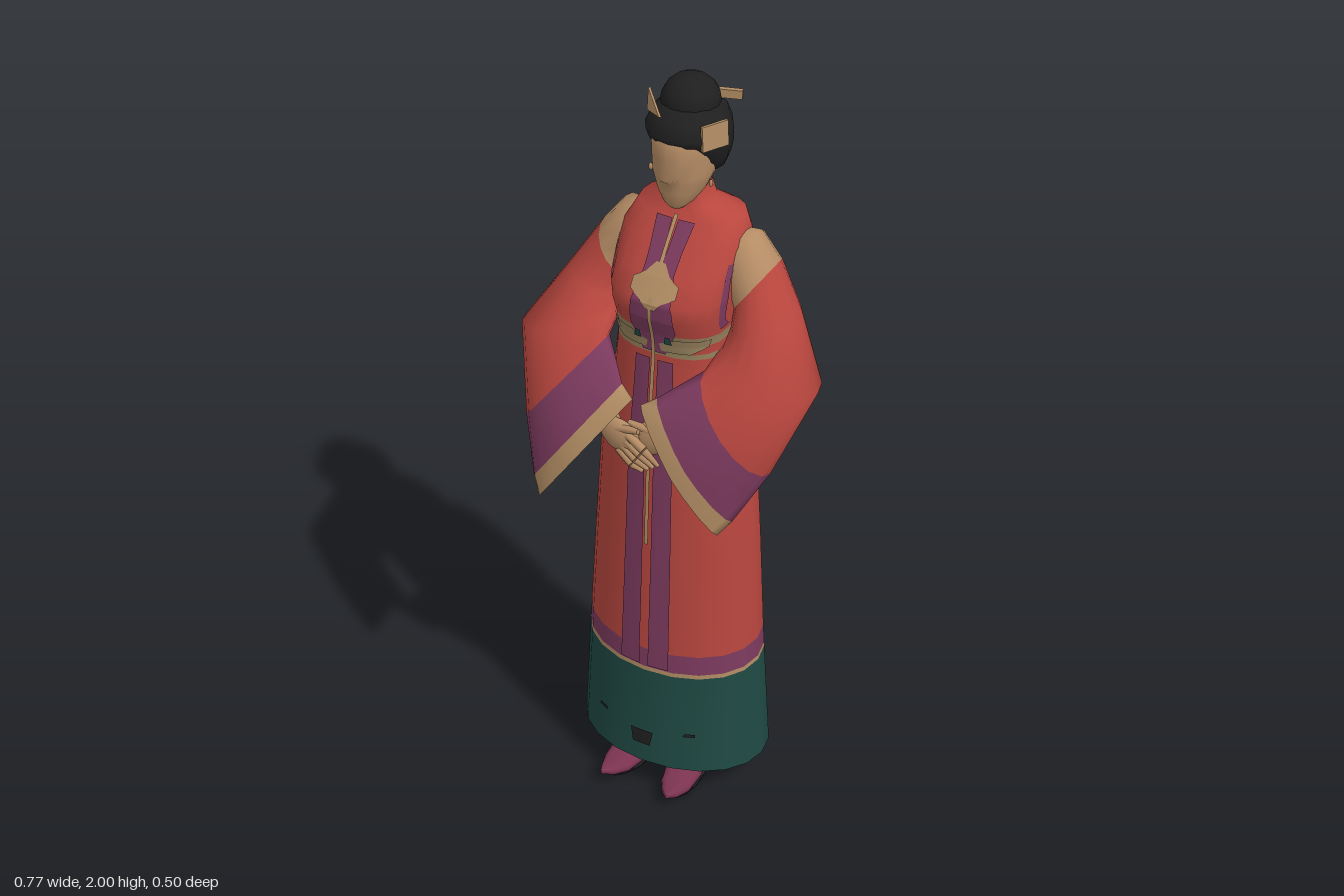
import * as THREE from 'three';

const V3 = (x, y, z) => new THREE.Vector3(x, y, z);
const paint = (name, color) => {
  const m = new THREE.MeshStandardMaterial({ color, side: THREE.DoubleSide });
  m.name = name;
  return m;
};

export function createModel() {
  const red = paint('red silk', 0xb8463e), purple = paint('purple border', 0x7c3a5e);
  const teal = paint('teal hem', 0x1f4943), skin = paint('skin', 0xb58c65);
  const tan = paint('tan trim', 0xb28d64), black = paint('black hair', 0x1f1f1f);
  const olive = paint('olive sash', 0x94805c), shoe = paint('shoe cloth', 0x7c3450);
  const root = new THREE.Group();

  const add = (name, geo, mat, parent = root) => {
    const m = new THREE.Mesh(geo, mat);
    m.name = name;
    parent.add(m);
    return m;
  };

  // Smooth skin over closed rings; bands[i] is the material between ring i and i + 1
  function loft(name, rings, bands, parent = root) {
    const n = rings[0].length, idx = [], mats = [...new Set(bands)];
    const geo = new THREE.BufferGeometry().setFromPoints(rings.flat());
    bands.forEach((mat, i) => {
      geo.addGroup(idx.length, n * 6, mats.indexOf(mat));
      for (let j = 0; j < n; j++) {
        const a = i * n + j, b = i * n + (j + 1) % n;
        idx.push(a, a + n, b, b, a + n, b + n);
      }
    });
    geo.setIndex(idx);
    geo.computeVertexNormals();
    return add(name, geo, mats, parent);
  }
  const fill = (rings, mat) => rings.slice(1).map(() => mat);

  // Level ring from half width, back z and front z; p sets how square it is
  const pw = (v, p) => Math.sign(v) * Math.abs(v) ** (2 / p);
  function ring([y, hw, zb, zf], n, p) {
    return Array.from({ length: n }, (_, j) => {
      const a = j / n * Math.PI * 2;
      return V3(hw * pw(Math.cos(a), p), y, (zb + zf) / 2 + (zf - zb) / 2 * pw(Math.sin(a), p));
    });
  }
  function rod(name, a, b, r0, r1, mat, parent = root) {
    const d = b.clone().sub(a);
    const m = add(name, new THREE.CylinderGeometry(r1, r0, d.length(), 8), mat, parent);
    m.position.copy(a).add(b).multiplyScalar(0.5);
    m.quaternion.setFromUnitVectors(V3(0, 1, 0), d.normalize());
    return m;
  }

  // Robe: [y, half width, back z, front z, colour above]; the bodice is squarer than the skirt
  const squareness = y => 2.06 + 0.5 * THREE.MathUtils.clamp((y - 1.25) / 0.09, 0, 1);
  const robe = [
    [0.083, 0.255, -0.247, 0.145, teal], [0.4, 0.237, -0.226, 0.127, tan],
    [0.412, 0.236, -0.226, 0.126, purple], [0.47, 0.233, -0.223, 0.124, red],
    [0.75, 0.218, -0.215, 0.108, red], [1.0, 0.202, -0.208, 0.095, red],
    [1.12, 0.187, -0.204, 0.088, red], [1.25, 0.159, -0.18, 0.074, red],
    [1.342, 0.143, -0.168, 0.064, olive], [1.356, 0.142, -0.168, 0.064, red],
    [1.38, 0.142, -0.168, 0.066, olive], [1.405, 0.144, -0.168, 0.07, red],
    [1.45, 0.15, -0.17, 0.083, red], [1.495, 0.153, -0.178, 0.085, red],
    [1.55, 0.156, -0.193, 0.048, red], [1.61, 0.156, -0.205, 0.0, red],
    [1.66, 0.132, -0.2, -0.04, red], [1.684, 0.058, -0.17, -0.06, red],
    [1.73, 0.046, -0.157, -0.068, red]];
  const robeRings = robe.map(r => ring(r, 20, squareness(r[0])));
  robeRings[0].forEach(v => { v.y += 0.09 * (v.z + 0.05); });
  loft('robe', robeRings, robe.slice(0, -1).map(r => r[4]));

  // Thin panels that follow the robe; rows are [y, x0, x1]
  function robeZ(x, y, side, lift) {
    let i = 0;
    while (i < robe.length - 2 && robe[i + 1][0] < y) i++;
    const A = robe[i], B = robe[i + 1], t = (y - A[0]) / (B[0] - A[0]);
    const [hw, zb, zf] = [1, 2, 3].map(k => A[k] + (B[k] - A[k]) * t), p = squareness(y);
    const k = Math.max(0, 1 - Math.abs(x / hw) ** p) ** (1 / p);
    return (zb + zf) / 2 + side * ((zf - zb) / 2 * k + lift);
  }
  function panel(name, rows, mat, { side = 1, lift = 0.004, mirror = true } = {}) {
    for (const s of mirror ? [1, -1] : [1]) {
      const nx = 4, steps = 12, ny = (rows.length - 1) * steps;
      const geo = new THREE.PlaneGeometry(1, 1, nx, ny), pos = geo.attributes.position;
      for (let j = 0; j <= ny; j++) {
        const k = Math.min(Math.floor(j / steps), rows.length - 2), t = j / steps - k;
        const [y, x0, x1] = rows[k].map((v, c) => v + (rows[k + 1][c] - v) * t);
        for (let i = 0; i <= nx; i++) {
          const x = s * (x0 + (x1 - x0) * i / nx);
          pos.setXYZ(j * (nx + 1) + i, x, y, robeZ(x, y, side, lift));
        }
      }
      geo.computeVertexNormals();
      add(name, geo, mat);
    }
  }
  panel('skirtStripe', [[0.42, 0.012, 0.068], [0.75, 0.012, 0.064], [1.05, 0.012, 0.06], [1.33, 0.01, 0.05]], purple);
  panel('bodiceStripe', [[1.35, 0, 0.03], [1.42, 0, 0.06], [1.48, 0, 0.055], [1.56, 0, 0.04], [1.6, 0.005, 0.042], [1.66, 0.008, 0.05]], purple);
  panel('sidePiping', [[1.42, 0.141, 0.146], [1.5, 0.146, 0.152], [1.58, 0.145, 0.152]], purple);
  panel('chestCloud', [[1.48, 0, 0.012], [1.5, 0, 0.028], [1.515, 0, 0.06], [1.54, 0, 0.06], [1.555, 0, 0.032], [1.578, 0, 0.012]], tan, { lift: 0.007 });
  panel('placketLine', [[0.8, -0.005, 0.005], [1.3, -0.005, 0.005], [1.5, -0.005, 0.005], [1.67, -0.005, 0.005]], tan, { lift: 0.008, mirror: false });
  panel('sashFront', [[1.36, 0.02, 0.09], [1.38, 0.015, 0.125], [1.4, 0.06, 0.13]], olive, { lift: 0.006 });
  panel('sashKnot', [[1.385, 0.03, 0.05], [1.407, 0.034, 0.046]], teal, { lift: 0.009 });
  panel('hemMark', [[0.16, -0.025, 0.025], [0.205, -0.032, 0.032]], black, { mirror: false });
  panel('hemDash', [[0.212, 0.11, 0.14], [0.222, 0.115, 0.14]], black);
  panel('backHemMark', [[0.1, 0.05, 0.08], [0.14, 0.04, 0.075], [0.145, 0, 0.075], [0.19, 0, 0.045]], black, { side: -1 });

  // Sleeves: centre, long half axis, depth, colour after, forward reach of the right one, squareness
  const sleeve = [
    [[0.115, 1.54, -0.11], [0.012, 0.09, 0], 0.07, skin, 0, 2],
    [[0.148, 1.535, -0.11], [0.026, 0.098, 0], 0.08, skin, 0, 2],
    [[0.182, 1.498, -0.107], [0.046, 0.066, 0], 0.083, red, 0, 2],
    [[0.22, 1.43, -0.078], [0.076, 0.022, -0.01], 0.09, red, 0.1, 2],
    [[0.262, 1.335, -0.03], [0.121, -0.037, 0], 0.107, red, 0.5, 2],
    [[0.22, 1.215, 0.06], [0.09, -0.118, 0], 0.088, purple, 0.8, 1.9],
    [[0.146, 1.125, 0.134], [0.102, -0.146, 0], 0.052, tan, 1, 1.6],
    [[0.114, 1.095, 0.153], [0.106, -0.153, 0.004], 0.041, tan, 1, 1.5]];
  for (const s of [1, -1]) {
    const rings = sleeve.map(([c, u, d, , k, p]) => Array.from({ length: 16 }, (_, j) => {
      const a = j / 16 * Math.PI * 2, co = pw(Math.cos(a), p), si = -s * pw(Math.sin(a), p);
      const ahead = s < 0 ? k : 0;
      return V3(s * (c[0] + u[0] * co), c[1] + u[1] * co + 0.018 * ahead,
        c[2] + u[2] * co + d * si + ahead * (0.05 + 0.04 * co));
    }));
    loft(s > 0 ? 'leftSleeve' : 'rightSleeve', rings, sleeve.slice(0, -1).map(r => r[3]));

    // Folded hand with forearm, palm, fingers and thumb
    const hand = new THREE.Group(), z = s > 0 ? 0.148 : 0.172;
    hand.name = s > 0 ? 'leftHand' : 'rightHand';
    root.add(hand);
    rod('forearm', V3(s * 0.18, 1.23, 0.085), V3(s * 0.06, 1.18, z - 0.005), 0.034, 0.026, skin, hand);
    const palm = add('palm', new THREE.SphereGeometry(1, 12, 8), skin, hand);
    palm.position.set(s * 0.035, 1.16, z);
    palm.scale.set(0.058, 0.044, 0.02);
    palm.rotation.z = s * 0.5;
    for (let f = 0; f < 4; f++) {
      const knuckle = V3(s * (0.012 + f * 0.008), 1.175 - f * 0.016, z + 0.006);
      const mid = V3(s * (-0.035 + f * 0.011), 1.148 - f * 0.017, z + 0.012);
      const tip = V3(s * (-0.07 + f * 0.014), 1.108 - f * 0.01, z + 0.004);
      rod('finger', knuckle, mid, 0.012, 0.011, skin, hand);
      rod('fingertip', mid, tip, 0.011, 0.005, skin, hand);
    }
    rod('thumb', V3(s * 0.04, 1.185, z + 0.005), V3(s * -0.02, 1.195, z + 0.01), 0.012, 0.007, skin, hand);

    // Ankle and upturned slipper: [z, half width, bottom, top]
    const foot = new THREE.Group();
    foot.name = s > 0 ? 'leftFoot' : 'rightFoot';
    foot.position.x = s * 0.074;
    foot.rotation.y = s * 0.12;
    root.add(foot);
    rod('ankle', V3(0, 0.04, -0.045), V3(0, 0.4, -0.05), 0.032, 0.055, skin, foot);
    const slipper = [[-0.09, 0, 0.03, 0.03], [-0.088, 0.025, 0.012, 0.055], [-0.05, 0.04, 0.008, 0.064],
      [0.0, 0.042, 0.008, 0.072], [0.06, 0.05, 0.008, 0.058], [0.12, 0.041, 0.01, 0.046],
      [0.16, 0.022, 0.02, 0.048], [0.188, 0.004, 0.04, 0.054], [0.188, 0, 0.05, 0.05]];
    const shoeRings = slipper.map(([z, w, y0, y1]) => Array.from({ length: 12 }, (_, j) => {
      const a = j / 12 * Math.PI * 2;
      return V3(w * pw(Math.cos(a), 2.6), (y0 + y1) / 2 - (y1 - y0) / 2 * pw(Math.sin(a), 2.6), z);
    }));
    loft('slipper', shoeRings, fill(shoeRings, shoe), foot);
    const soleRings = [[0, 0], [0.004, 1], [0.013, 1.03], [0.013, 0]].map(([y, k]) =>
      Array.from({ length: 14 }, (_, j) => {
        const a = j / 14 * Math.PI * 2;
        return V3(0.047 * k * Math.cos(a), y, 0.03 + 0.115 * k * Math.sin(a));
      }));
    loft('sole', soleRings, fill(soleRings, black), foot);

    const ear = add('earring', new THREE.SphereGeometry(0.005, 8, 6), tan);
    ear.position.set(s * 0.079, 1.765, -0.06);
    ear.scale.y = 2;
  }

  // Neck, head and hair: [y, half width, back z, front z]
  rod('neck', V3(0, 1.66, -0.115), V3(0, 1.79, -0.1), 0.043, 0.04, skin);
  const shell = rows => rows.map(r => ring(r, 16, 2.1));
  const head = shell([[1.692, 0, -0.045, -0.045], [1.694, 0.02, -0.07, -0.024], [1.71, 0.037, -0.1, -0.012],
    [1.74, 0.057, -0.14, -0.005], [1.768, 0.068, -0.158, -0.002], [1.785, 0.073, -0.165, 0.001],
    [1.83, 0.077, -0.18, 0.003], [1.86, 0.077, -0.18, 0.005], [1.89, 0.07, -0.17, -0.008], [1.91, 0, -0.08, -0.08]]);
  head[5][4].z += 0.018; // nose tip and bridge
  head[6][4].z += 0.004;
  loft('head', head, fill(head, skin));
  const hair = shell([[1.75, 0, -0.13, -0.13], [1.755, 0.045, -0.158, -0.1], [1.78, 0.078, -0.185, -0.065],
    [1.81, 0.09, -0.198, -0.038], [1.84, 0.097, -0.205, -0.022], [1.868, 0.099, -0.207, -0.004],
    [1.888, 0.098, -0.207, 0.008], [1.918, 0.085, -0.197, -0.012], [1.938, 0.06, -0.18, -0.04],
    [1.946, 0, -0.11, -0.11]]);
  loft('hair', hair, fill(hair, black));
  const bun = add('bun', new THREE.SphereGeometry(1, 14, 10), black);
  bun.position.set(-0.004, 1.935, -0.115);
  bun.scale.set(0.07, 0.064, 0.072);

  // Hair ornaments
  const comb = add('sideComb', new THREE.BoxGeometry(0.008, 0.062, 0.07), tan);
  comb.position.set(0.088, 1.892, -0.058);
  comb.rotation.set(0, -0.5, 0.08);
  const leaf = new THREE.Shape([[-0.04, 0.025], [0.035, -0.024], [-0.03, -0.024]].map(p => new THREE.Vector2(...p)));
  const clip = add('frontClip', new THREE.ExtrudeGeometry(leaf, { depth: 0.006, bevelEnabled: false }), tan);
  clip.position.set(-0.05, 1.95, -0.036);
  clip.rotation.set(-0.3, -0.65, 0);
  const pin = add('hairpin', new THREE.BoxGeometry(0.055, 0.022, 0.012), tan);
  pin.position.set(0.07, 1.942, -0.17);
  pin.rotation.y = 0.3;

  return root;
}
